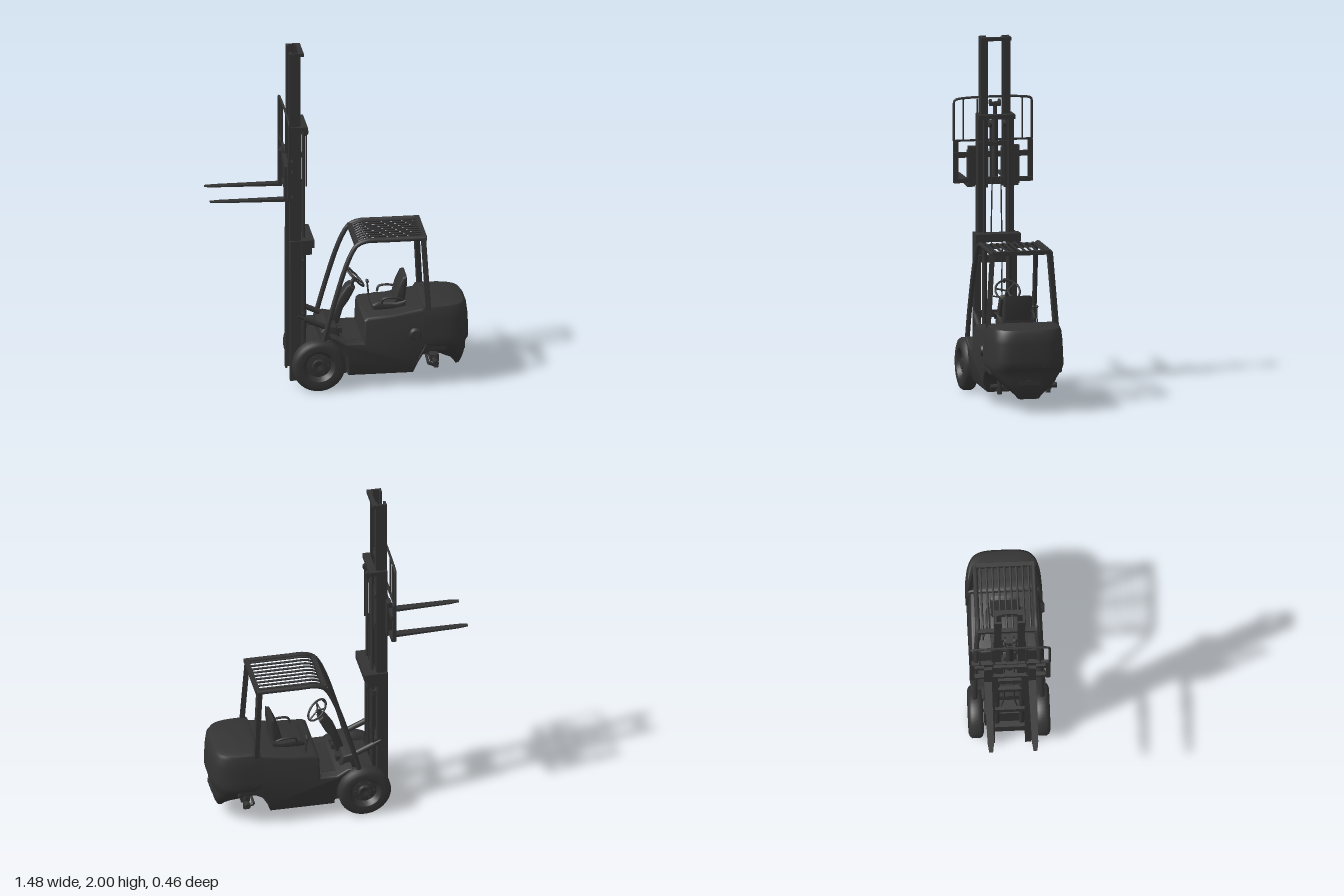
import * as THREE from 'three';
import { toCreasedNormals } from 'three/addons/utils/BufferGeometryUtils.js';

const mat = new THREE.MeshStandardMaterial({ color: 0x333333, side: THREE.DoubleSide });
const V = (p) => new THREE.Vector3(...p);

export function createModel() {
  const root = new THREE.Group();

  const add = (name, geo, pos = [0, 0, 0], rot = [0, 0, 0]) => {
    const m = new THREE.Mesh(geo, mat);
    m.name = name;
    m.position.set(...pos);
    m.rotation.set(...rot);
    root.add(m);
    return m;
  };
  // box from min and max corners
  const box = (name, a, b) => add(name,
    new THREE.BoxGeometry(b[0] - a[0], b[1] - a[1], b[2] - a[2]),
    a.map((v, i) => (v + b[i]) / 2));
  // straight strut between two points: round with many sides, square with four
  const strut = (name, a, b, r, sides = 12) => {
    const d = V(b).sub(V(a));
    const m = add(name, new THREE.CylinderGeometry(r, r, d.length(), sides, 1),
      a.map((v, i) => (v + b[i]) / 2));
    if (sides === 4) {
      m.geometry.rotateY(Math.PI / 4);
      m.geometry = toCreasedNormals(m.geometry, 0.6);
    }
    m.quaternion.setFromUnitVectors(new THREE.Vector3(0, 1, 0), d.normalize());
    return m;
  };
  const tube = (name, pts, r, sides = 8, n = 24) => add(name, new THREE.TubeGeometry(
    new THREE.CatmullRomCurve3(pts.map(V), false, 'centripetal'), n, r, sides));
  // side outline in x,y extruded across z, with bevelled edges
  const slab = (name, pts, half, bevel = 0.01, rule) => {
    const g = new THREE.ExtrudeGeometry(new THREE.Shape(pts.map((p) => new THREE.Vector2(...p))), {
      depth: 2 * (half - bevel), bevelEnabled: bevel > 0, bevelSize: bevel, bevelOffset: -bevel,
      bevelThickness: bevel, bevelSegments: 3, curveSegments: 8 });
    g.translate(0, 0, bevel - half);
    const p = g.attributes.position;
    if (rule) for (let i = 0; i < p.count; i++) p.setZ(i, p.getZ(i) * rule(p.getY(i)));
    return add(name, toCreasedNormals(g, 0.6));
  };
  const both = (fn) => [1, -1].forEach(fn);

  // chassis with wheel arches and engine hood, narrowing above and below
  slab('chassis', [[0.04, 0.08], [0.41, 0.08], [0.43, 0.14], [0.46, 0.19], [0.5, 0.21], [0.6, 0.21],
    [0.6, 0.465], [0.47, 0.465], [0.3, 0.435], [0.15, 0.425], [0.13, 0.41], [0.125, 0.28], [0.03, 0.28],
    [-0.03, 0.315], [-0.06, 0.32], [-0.05, 0.305], [0, 0.265], [0.03, 0.2]], 0.212, 0.012,
  (y) => (y < 0.14 ? 0.88 + (y - 0.08) * 2 : y > 0.32 ? 1 - (y - 0.32) * 0.7 : 1));
  box('frontAxleHousing', [-0.19, 0.08, -0.14], [0.06, 0.27, 0.14]);
  box('floorPlate', [-0.1, 0.265, -0.15], [0.14, 0.282, 0.15]);
  slab('frontCowl', [[-0.11, 0.27], [-0.11, 0.33], [-0.07, 0.37], [-0.02, 0.36], [0, 0.3], [0, 0.27]], 0.14);

  // counterweight: rounded plan sections [y, front x, rear x, half width]
  const levels = [[0.08, 0.665, 0.69, 0.06], [0.1, 0.655, 0.7, 0.075], [0.14, 0.63, 0.71, 0.12],
    [0.165, 0.59, 0.714, 0.15], [0.2, 0.54, 0.718, 0.18], [0.245, 0.5, 0.722, 0.212], [0.262, 0.47, 0.735, 0.218],
    [0.3, 0.46, 0.737, 0.218], [0.4, 0.46, 0.732, 0.214], [0.455, 0.46, 0.725, 0.208],
    [0.476, 0.47, 0.71, 0.2], [0.484, 0.49, 0.685, 0.18]];
  const N = 33, pos = [], idx = [];
  for (const [y, x0, x1, w] of levels) for (let j = 0; j < N; j++) {
    const a = (j / (N - 1) - 0.5) * Math.PI;
    pos.push(x0 + (x1 - x0) * Math.sqrt(Math.max(0, Math.cos(a))), y,
      w * Math.sign(a) * Math.sqrt(Math.abs(Math.sin(a))));
  }
  for (let i = 0; i < levels.length - 1; i++) for (let j = 0; j < N; j++) {
    const a = i * N + j, b = i * N + (j + 1) % N;
    idx.push(a, a + N, b, b, a + N, b + N);
  }
  const top = (levels.length - 1) * N;
  for (let j = 1; j < N - 1; j++) idx.push(0, j, j + 1, top, top + j + 1, top + j);
  const cw = new THREE.BufferGeometry();
  cw.setAttribute('position', new THREE.Float32BufferAttribute(pos, 3));
  cw.setIndex(idx);
  add('counterweight', toCreasedNormals(cw, 0.6));
  box('towBar', [0.69, 0.165, -0.06], [0.722, 0.19, 0.06]);
  add('fillerCap', new THREE.CylinderGeometry(0.026, 0.036, 0.02, 24), [0.42, 0.32, 0.215], [Math.PI / 2, 0, 0]);

  // bare steering axle
  box('steerAxle', [0.515, 0.115, -0.12], [0.565, 0.155, 0.12]);
  box('axleMount', [0.5, 0.14, -0.06], [0.58, 0.23, 0.06]);
  both((s) => {
    strut('kingPin', [0.545, 0.09, s * 0.14], [0.545, 0.17, s * 0.14], 0.015);
    strut('stubAxle', [0.54, 0.13, s * 0.1], [0.54, 0.13, s * 0.19], 0.016);
    strut('tieRod', [0.5, 0.135, s * 0.04], [0.5, 0.12, s * 0.15], 0.008);
    strut('steerArm', [0.5, 0.12, s * 0.15], [0.545, 0.1, s * 0.14], 0.01);
  });

  // front wheels
  const tire = [[0, 0.018], [0.02, 0.03], [0.034, 0.03], [0.038, 0.012], [0.07, 0.008], [0.082, 0.03], [0.09, 0.04],
    [0.12, 0.043], [0.14, 0.036], [0.15, 0.022], [0.15, -0.022], [0.14, -0.036], [0.12, -0.043], [0.08, -0.04], [0, -0.04]];
  both((s) => {
    const lathe = new THREE.LatheGeometry(tire.map((p) => new THREE.Vector2(...p)).reverse(), 48);
    add('frontWheel', toCreasedNormals(lathe, 0.7), [-0.13, 0.154, s * 0.188], [s * Math.PI / 2, 0, 0]);
    for (let i = 0; i < 6; i++) {
      const a = i * Math.PI / 3;
      add('wheelNut', new THREE.CylinderGeometry(0.006, 0.006, 0.012, 6),
        [-0.13 + 0.054 * Math.cos(a), 0.154 + 0.054 * Math.sin(a), s * 0.203], [Math.PI / 2, 0, 0]);
    }
  });

  // overhead guard
  both((s) => {
    tube('guardFrontPillar', [[-0.1, 0.3, s * 0.19], [-0.06, 0.45, s * 0.187], [0.015, 0.7, s * 0.178],
      [0.055, 0.8, s * 0.172], [0.09, 0.855, s * 0.167], [0.14, 0.878, s * 0.165], [0.25, 0.88, s * 0.165],
      [0.485, 0.88, s * 0.165]], 0.014, 8, 48);
    strut('guardRearPillar', [0.47, 0.88, s * 0.165], [0.495, 0.46, s * 0.195], 0.02, 4);
  });
  box('guardRearBar', [0.465, 0.868, -0.17], [0.49, 0.892, 0.17]);
  box('guardFrontBar', [0.08, 0.845, -0.165], [0.105, 0.87, 0.165]);
  for (let i = -4; i <= 4; i++) {
    tube('guardSlat', [[0.09, 0.857, i * 0.034], [0.14, 0.88, i * 0.034], [0.25, 0.882, i * 0.034],
      [0.48, 0.882, i * 0.034]], 0.006, 6, 16);
  }

  // seat
  slab('seatBase', [[0.19, 0.43], [0.19, 0.46], [0.22, 0.475], [0.33, 0.468], [0.38, 0.48], [0.38, 0.43]], 0.09, 0.012);
  slab('seatBack', [[0.315, 0.47], [0.335, 0.55], [0.365, 0.615], [0.388, 0.62], [0.39, 0.57], [0.375, 0.47]], 0.083, 0.016);
  both((s) => tube('armRest', [[0.36, 0.49, s * 0.1], [0.32, 0.505, s * 0.105], [0.25, 0.5, s * 0.105],
    [0.24, 0.47, s * 0.1]], 0.007));
  for (const z of [-0.13, -0.15]) {
    strut('handLever', [0.2, 0.42, z], [0.19, 0.515, z], 0.004);
    add('leverKnob', new THREE.SphereGeometry(0.009, 12, 8), [0.19, 0.52, z]);
  }

  // steering column and wheel
  slab('steeringColumn', [[-0.05, 0.34], [-0.01, 0.45], [0.01, 0.5], [0.05, 0.56], [0.075, 0.575], [0.1, 0.55],
    [0.065, 0.48], [0.03, 0.43], [0, 0.33]], 0.04);
  strut('steeringShaft', [0.07, 0.55, 0], [0.102, 0.6, 0], 0.012);
  const lean = [Math.PI / 2, 0.7, 0];
  const wheel = add('steeringWheel', new THREE.TorusGeometry(0.07, 0.006, 8, 36), [0.103, 0.603, 0]);
  const axis = new THREE.Vector3(0.72, 0.69, 0).normalize();
  wheel.quaternion.setFromUnitVectors(new THREE.Vector3(0, 0, 1), axis);
  for (let i = 0; i < 3; i++) {
    const a = i * Math.PI * 2 / 3 + Math.PI / 2;
    const p = new THREE.Vector3(0.07 * Math.cos(a), 0.07 * Math.sin(a), 0).applyQuaternion(wheel.quaternion).add(wheel.position);
    strut('steeringSpoke', [0.1, 0.6, 0], p.toArray(), 0.005, 8);
  }
  strut('steeringKnob', [0.055, 0.645, 0.01], [0.07, 0.665, 0.01], 0.008);
  strut('directionLever', [0.06, 0.55, 0], [0.08, 0.575, 0.1], 0.004);
  for (const z of [-0.08, 0.04, 0.09]) box('pedal', [-0.01, 0.31, z - 0.02], [0.015, 0.34, z + 0.02]);

  // telescopic mast: C channels [name, bottom, top, inner z, outer z]
  const rails = [['outerMastRail', 0.04, 0.88, 0.085, 0.122], ['middleMastRail', 0.72, 1.56, 0.068, 0.104],
    ['innerMastRail', 1.14, 2, 0.046, 0.086]];
  for (const [name, y0, y1, z0, z1] of rails) both((s) => {
    box(name, [-0.278, y0, s > 0 ? z1 - 0.012 : -z1], [-0.222, y1, s > 0 ? z1 : 0.012 - z1]);
    for (const x of [-0.282, -0.232]) box(name, [x, y0, s > 0 ? z0 : -z1], [x + 0.013, y1, s > 0 ? z1 : -z0]);
  });
  box('innerTopTie', [-0.225, 1.98, -0.086], [-0.2, 2, 0.086]);
  box('innerLowerTie', [-0.235, 1.16, -0.08], [-0.215, 1.2, 0.08]);
  box('middleTopTie', [-0.22, 1.535, -0.105], [-0.18, 1.56, 0.105]);
  box('middleMidTie', [-0.225, 1.38, -0.1], [-0.21, 1.405, 0.1]);
  box('middleLowerTie', [-0.225, 0.715, -0.1], [-0.2, 0.755, 0.1]);
  box('outerTopTie', [-0.22, 0.84, -0.13], [-0.145, 0.885, 0.13]);
  box('outerLowerTie', [-0.235, 0.1, -0.12], [-0.2, 0.17, 0.12]);
  box('outerMidTie', [-0.23, 0.4, -0.12], [-0.21, 0.44, 0.12]);
  both((s) => {
    box('mastBracket', [-0.22, 0.8, s * 0.115 - 0.015], [-0.16, 0.85, s * 0.115 + 0.015]);
    strut('liftCylinder', [-0.2, 0.1, s * 0.07], [-0.2, 0.82, s * 0.07], 0.015);
    strut('liftRod', [-0.2, 0.8, s * 0.07], [-0.2, 1.54, s * 0.07], 0.008);
    add('chainPulley', new THREE.CylinderGeometry(0.022, 0.022, 0.016, 20), [-0.19, 1.51, s * 0.04], [Math.PI / 2, 0, 0]);
    box('liftChain', [-0.184, 1.18, s * 0.04 - 0.005], [-0.176, 1.52, s * 0.04 + 0.005]);
    tube('hose', [[-0.2, 1.2, s * 0.025], [-0.2, 0.9, s * 0.03], [-0.19, 0.79, s * 0.03], [-0.185, 0.5, s * 0.03],
      [-0.18, 0.33, s * 0.05]], 0.004);
    // tilt cylinder
    strut('tiltCylinder', [-0.2, 0.41, s * 0.12], [-0.06, 0.345, s * 0.12], 0.016);
    strut('tiltRod', [-0.24, 0.43, s * 0.12], [-0.18, 0.4, s * 0.12], 0.009);
  });

  // free lift cylinder in the inner mast
  strut('freeLiftCylinder', [-0.245, 1.17, 0], [-0.245, 1.55, 0], 0.019, 20);
  strut('freeLiftRod', [-0.245, 1.55, 0], [-0.245, 1.62, 0], 0.012);
  box('freeLiftHead', [-0.265, 1.605, -0.03], [-0.225, 1.625, 0.03]);
  both((s) => add('headPulley', new THREE.CylinderGeometry(0.02, 0.02, 0.012, 20),
    [-0.245, 1.622, s * 0.026], [Math.PI / 2, 0, 0]));

  // fork carriage and load backrest
  for (const [y0, y1] of [[1.16, 1.185], [1.305, 1.335]]) box('carriageBar', [-0.303, y0, -0.228], [-0.28, y1, 0.228]);
  box('backrestLowerBar', [-0.308, 1.395, -0.228], [-0.294, 1.405, 0.228]);
  tube('backrestFrame', [[-0.302, 1.4, -0.224], [-0.302, 1.6, -0.224], [-0.302, 1.628, -0.222], [-0.302, 1.637, -0.21],
    [-0.302, 1.637, 0.21], [-0.302, 1.628, 0.222], [-0.302, 1.6, 0.224], [-0.302, 1.4, 0.224]], 0.007, 8, 80);
  for (const z of [-0.17, -0.09, 0.09, 0.17]) box('backrestBar', [-0.308, 1.4, z - 0.004], [-0.296, 1.635, z + 0.004]);
  both((s) => {
    box('carriageSide', [-0.308, 1.16, s * 0.214 - 0.014], [-0.288, 1.4, s * 0.214 + 0.014]);
    box('carriagePlate', [-0.298, 1.15, s * 0.12 - 0.026], [-0.27, 1.37, s * 0.12 + 0.026]);
    box('carriageRoller', [-0.285, 1.16, s * 0.06 - 0.02], [-0.235, 1.36, s * 0.06 + 0.02]);
    // fork: upright shank and tapering tine
    const z = s * 0.125;
    box('forkShank', [-0.318, 1.14, z - 0.022], [-0.3, 1.345, z + 0.022]);
    const tine = new THREE.BoxGeometry(0.44, 0.016, 0.044, 8, 1, 1);
    const p = tine.attributes.position;
    for (let i = 0; i < p.count; i++) {
      const t = 0.5 - p.getX(i) / 0.44;
      p.setZ(i, p.getZ(i) * (t > 0.95 ? 0.5 : 1 - 0.2 * t));
      if (p.getY(i) < 0) p.setY(i, 0.008 - 0.016 * (1 - 0.65 * t));
    }
    add('forkTine', toCreasedNormals(tine, 0.6), [-0.52, 1.142, z]);
  });

  return root;
}
